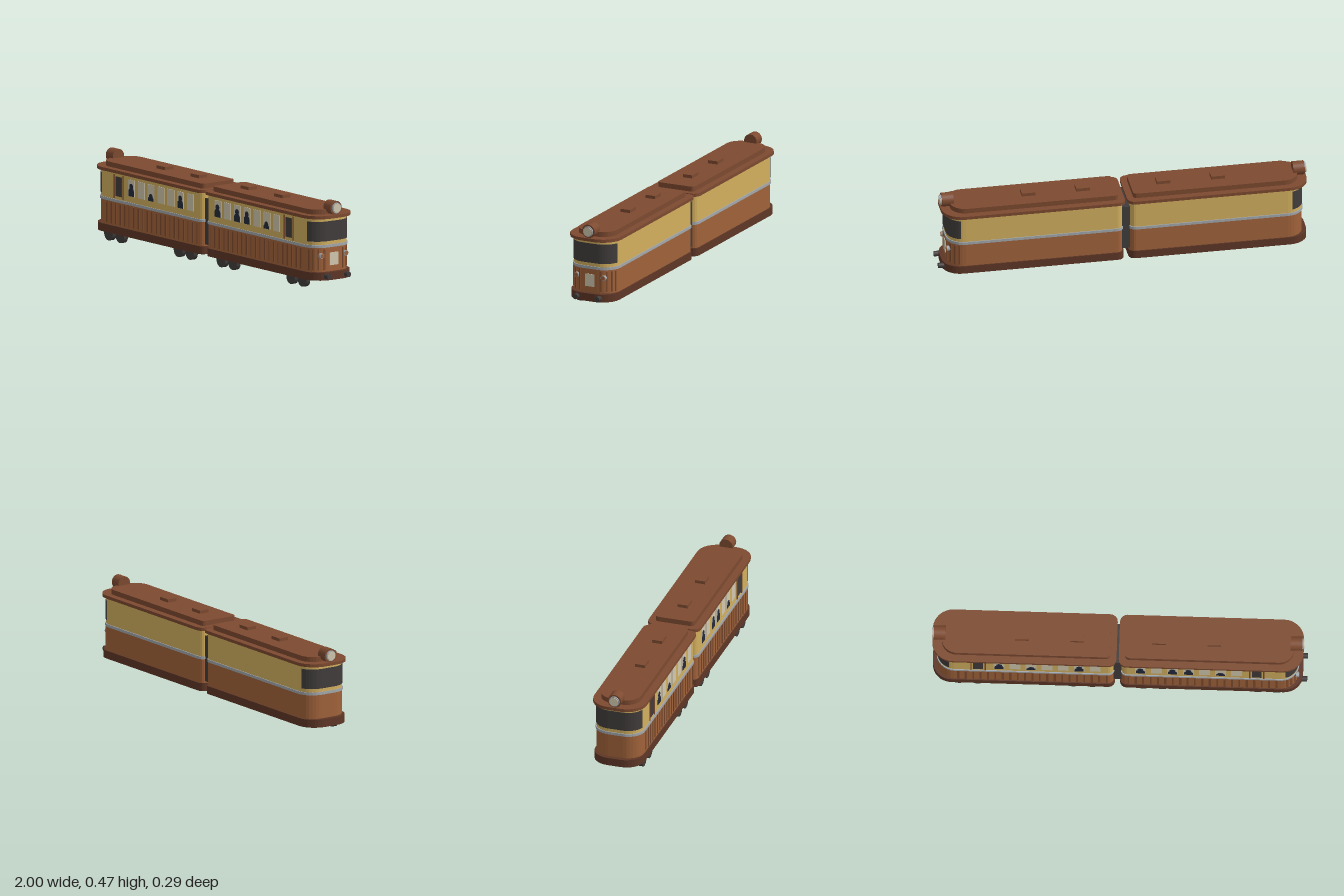
import * as THREE from 'three';

const mat = (name, color) => {
  const m = new THREE.MeshStandardMaterial({ color });
  m.name = name;
  return m;
};

export function createModel() {
  const roofBrown = mat('roof brown', 0x7d4a30);
  const baseBrown = mat('dark base brown', 0x5e3626);
  const wallBrown = mat('wall brown', 0xa0623a);
  const slatBrown = mat('groove brown', 0x7f4c2e);
  const yellow = mat('warm yellow', 0xd2af5e);
  const silver = mat('silver', 0xa3a8ac);
  const dark = mat('charcoal', 0x413c3c);
  const cream = mat('cream', 0xd2c8ae);
  const navy = mat('silhouette navy', 0x232a3a);

  const model = new THREE.Group();
  model.name = 'twoCarTrain';
  const MID = -0.01; // the two cars mirror about this x

  const add = (parent, name, geo, material, x = 0, y = 0, z = 0) => {
    const m = new THREE.Mesh(geo, material);
    m.name = name;
    m.position.set(x, y, z);
    parent.add(m);
    return m;
  };
  const box = (parent, name, material, w, h, d, x, y, z) =>
    add(parent, name, new THREE.BoxGeometry(w, h, d), material, x, y, z);
  // Cylinder lying along x or z
  const disc = (parent, name, material, r, len, x, y, z, axis = 'x', seg = 24) => {
    const g = new THREE.CylinderGeometry(r, r, len, seg);
    if (axis === 'x') g.rotateZ(Math.PI / 2); else g.rotateX(Math.PI / 2);
    return add(parent, name, g, material, x, y, z);
  };

  // Points round a corner; d is the distance from the middle of the train
  const corner = (cd, cz, r, a0, a1, n = 8) => Array.from({ length: n + 1 }, (_, i) => {
    const a = a0 + (a1 - a0) * i / n;
    return [cd + r * Math.cos(a), cz + r * Math.sin(a)];
  });
  const slab = (parent, name, material, s, pts, y0, y1) => {
    const shape = new THREE.Shape(pts.map(([d, z]) => new THREE.Vector2(MID + s * d, z)));
    const g = new THREE.ExtrudeGeometry(shape, { depth: y1 - y0, bevelEnabled: false });
    g.rotateX(-Math.PI / 2);
    return add(parent, name, g, material, 0, y0, 0);
  };
  // Car plan: large radius at the outer end, small one at the coupling
  const plan = (d0, d1, h, ro, ri) => {
    const q = Math.PI / 2;
    return [
      ...corner(d1 - ro, -h + ro, ro, -q, 0), ...corner(d1 - ro, h - ro, ro, 0, q),
      ...corner(d0 + ri, h - ri, ri, q, 2 * q, 4), ...corner(d0 + ri, -h + ri, ri, 2 * q, 3 * q, 4),
    ];
  };

  const H = 0.132, R = 0.09, D0 = 0.02, D1 = 0.962;
  const cars = [
    { s: -1, name: 'leftCar', full: [0, 5], low: [2] },
    { s: 1, name: 'rightCar', full: [0, 2, 3], low: [5] },
  ];

  for (const { s, name, full, low } of cars) {
    const car = new THREE.Group();
    car.name = name;
    model.add(car);
    const X = d => MID + s * d;

    // Shell, from the skirt up to the roof
    slab(car, 'baseSkirt', baseBrown, s, plan(0.013, 0.987, 0.138, 0.1, 0.035), 0.047, 0.09);
    slab(car, 'lowerWall', wallBrown, s, plan(D0, D1, H, R, 0.03), 0.09, 0.222);
    slab(car, 'beltRail', silver, s, plan(0.016, D1 + 0.005, 0.137, R + 0.005, 0.033), 0.221, 0.236);
    slab(car, 'upperWall', yellow, s, plan(D0, D1, H, R, 0.03), 0.236, 0.38);
    slab(car, 'roofBrim', roofBrown, s, plan(0.006, 0.99, 0.147, 0.11, 0.04), 0.38, 0.397);
    slab(car, 'raisedRoof', roofBrown, s, plan(0.041, 0.94, 0.109, 0.08, 0.02), 0.397, 0.424);
    for (const d of [0.218, 0.513])
      box(car, 'roofHatch', roofBrown, 0.073, 0.018, 0.056, X(d), 0.432, 0);

    // Wraparound end window
    const a = 1.29, o = 0.0025, c = [D1 - R, H - R];
    const wrap = (r, n) => [...corner(c[0], -c[1], r, -a, 0, n), ...corner(c[0], c[1], r, 0, a, n)];
    slab(car, 'endWindow', dark, s, [...wrap(R + o, 8), ...wrap(R - 0.004, 8).reverse()], 0.255, 0.362);

    // Headlight on the roof
    disc(car, 'headlightHousing', roofBrown, 0.0375, 0.062, X(0.951), 0.433, 0, 'x', 32);
    disc(car, 'headlightRing', silver, 0.0285, 0.01, X(0.985), 0.433, 0, 'x', 32);
    disc(car, 'headlightLens', cream, 0.024, 0.004, X(0.991), 0.433, 0, 'x', 32);

    // Wheels along the front side
    for (const d of [0.136, 0.238, 0.746, 0.846])
      disc(car, 'wheel', dark, 0.038, 0.026, X(d), 0.038, 0.111, 'z');

    // Grooves on the front lower wall
    for (let i = 0; i < 21; i++)
      box(car, 'wallGroove', slatBrown, i % 3 ? 0.012 : 0.008, 0.113, 0.006, X(0.058 + i * 0.0395), 0.156, H);

    // Door window with its posts
    box(car, 'doorWindow', dark, 0.053, 0.106, 0.006, X(0.743), 0.307, H);
    for (const k of [-0.038, 0.038])
      box(car, 'doorPost', slatBrown, 0.007, 0.13, 0.008, X(0.743 + k), 0.306, H);

    // Seven side windows, some with passengers
    for (let i = 0; i < 7; i++) {
      const x = (s < 0 ? -0.641 : 0.112) + i * 0.0855;
      box(car, 'sideWindow', cream, 0.058, 0.09, 0.006, x, 0.315, H);
      if (!full.includes(i) && !low.includes(i)) continue;
      const tall = full.includes(i), top = tall ? 0.042 : 0.022;
      const bust = new THREE.Shape();
      bust.moveTo(-0.024, 0);
      bust.lineTo(0.024, 0);
      bust.lineTo(0.024, top * 0.55);
      bust.quadraticCurveTo(0.022, top, 0.008, top);
      bust.lineTo(-0.008, top);
      bust.quadraticCurveTo(-0.022, top, -0.024, top * 0.55);
      add(car, 'passengerBody', new THREE.ExtrudeGeometry(bust, { depth: 0.002, bevelEnabled: false }),
        navy, x, 0.271, H + 0.003);
      disc(car, 'passengerHead', navy, 0.0155, 0.002, x, tall ? 0.324 : 0.295, H + 0.004, 'z');
    }
  }

  // Fittings on the leading end
  const end = new THREE.Group();
  end.name = 'leadingEnd';
  model.add(end);
  const EX = MID + D1;
  box(end, 'endPlate', cream, 0.006, 0.069, 0.056, EX, 0.157, 0);
  for (const k of [-1, 1]) {
    for (const z of [0.062, 0.092, 0.113, 0.125]) {
      const t = Math.asin((z - (H - R)) / R);
      const g = box(end, 'endGroove', slatBrown, 0.006, 0.113, 0.009,
        EX - R + R * Math.cos(t), 0.156, k * z);
      g.rotation.y = -k * t;
    }
    disc(end, 'markerLightRing', silver, 0.0145, 0.03, EX - 0.01, 0.178, k * 0.08);
    disc(end, 'markerLightLens', wallBrown, 0.0115, 0.004, EX + 0.006, 0.178, k * 0.08);
    disc(end, 'buffer', dark, 0.0145, 0.045, 0.9775, 0.069, k * 0.065);
  }

  // Gangway between the cars
  box(model, 'gangway', dark, 0.046, 0.25, 0.22, MID, 0.225, 0);

  return model;
}
